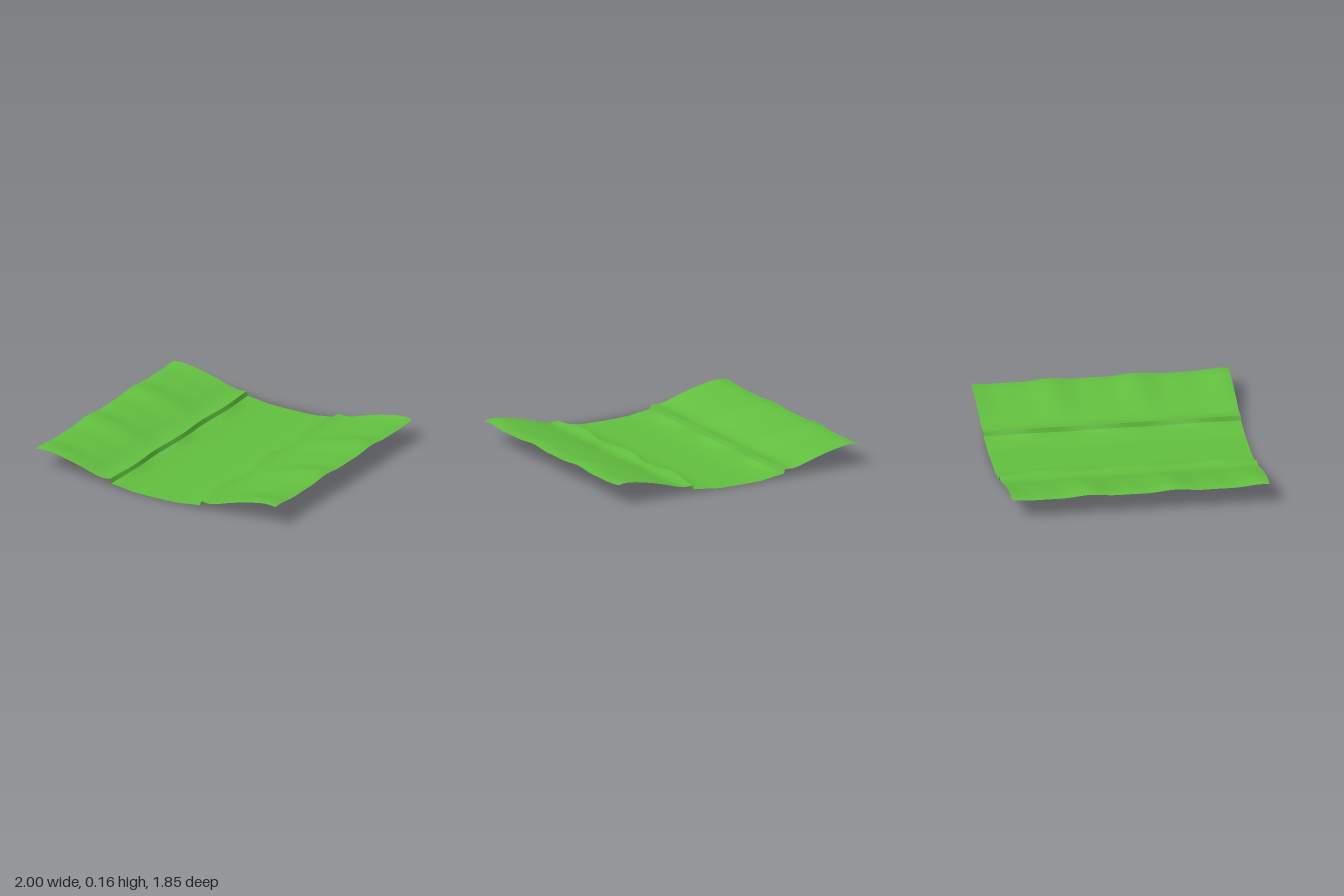
import * as THREE from 'three';

const HALF_Z = 0.925, PERIOD = (2 * HALF_Z) / 3, ROWS = 72;
const wave = (z, shift, n = 1) => Math.cos((2 * Math.PI * n * (z - shift)) / PERIOD);

// Foot and lip of the small bank step, meandering along z
const foot = z => {
  const w = wave(z, HALF_Z);
  return [0.357 + 0.014 * w, 0.034 - 0.008 * w];
};
const lip = z => {
  const w = wave(z, HALF_Z);
  return [0.368 + 0.014 * w, 0.065 - 0.006 * w];
};
// Ripples running across the outer slopes
const ripple = z => 0.01 * wave(z, 0.25) + 0.004 * wave(z, 0.25, 2);

const spline = (pts, n) => new THREE.CatmullRomCurve3(
  pts.map(([x, y]) => new THREE.Vector3(x, y, 0)), false, 'centripetal').getPoints(n);

// Cross-sections at a given z, ordered from -x to +x
function floorSection(z) {
  const [x, y] = foot(z);
  const half = [[0.1, 0.001], [0.19, 0.004], [0.28, 0.016], [x, y]];
  return spline([...half.map(([a, b]) => [-a, b]).reverse(), [0, 0], ...half], 40);
}
function wallSection(z) {
  return [foot(z), lip(z)].map(([x, y]) => new THREE.Vector3(x, y, 0));
}
function slopeSection(z) {
  const r = ripple(z);
  return spline([lip(z), [0.46, 0.055 + 0.1 * r], [0.63, 0.097 + 0.6 * r],
    [0.78, 0.13 + r], [0.92, 0.151 + r], [1, 0.147 + 0.7 * r]], 32);
}

const mirrored = section => z => section(z).map(p => p.setX(-p.x)).reverse();

// Surface lofted through cross-sections along z
function loft(section) {
  const pos = [], index = [];
  let cols = 0;
  for (let i = 0; i <= ROWS; i++) {
    const z = -HALF_Z + (2 * HALF_Z * i) / ROWS;
    const pts = section(z);
    cols = pts.length;
    pts.forEach(p => pos.push(p.x, p.y, z));
  }
  for (let i = 0; i < ROWS; i++) {
    for (let j = 0; j < cols - 1; j++) {
      const a = i * cols + j, b = a + cols;
      index.push(a, b, a + 1, a + 1, b, b + 1);
    }
  }
  const geo = new THREE.BufferGeometry();
  geo.setAttribute('position', new THREE.Float32BufferAttribute(pos, 3));
  geo.setIndex(index);
  geo.computeVertexNormals();
  return geo;
}

export function createModel() {
  const model = new THREE.Group();
  model.name = 'valleyTerrain';
  const grass = new THREE.MeshStandardMaterial({ color: 0x62bf3f, side: THREE.DoubleSide });
  const add = (name, section) => {
    const mesh = new THREE.Mesh(loft(section), grass);
    mesh.name = name;
    model.add(mesh);
  };
  // Flat valley floor, then a step and a rolling slope on each side
  add('valleyFloor', floorSection);
  add('leftBankStep', wallSection);
  add('rightBankStep', mirrored(wallSection));
  add('leftSlope', slopeSection);
  add('rightSlope', mirrored(slopeSection));
  return model;
}
